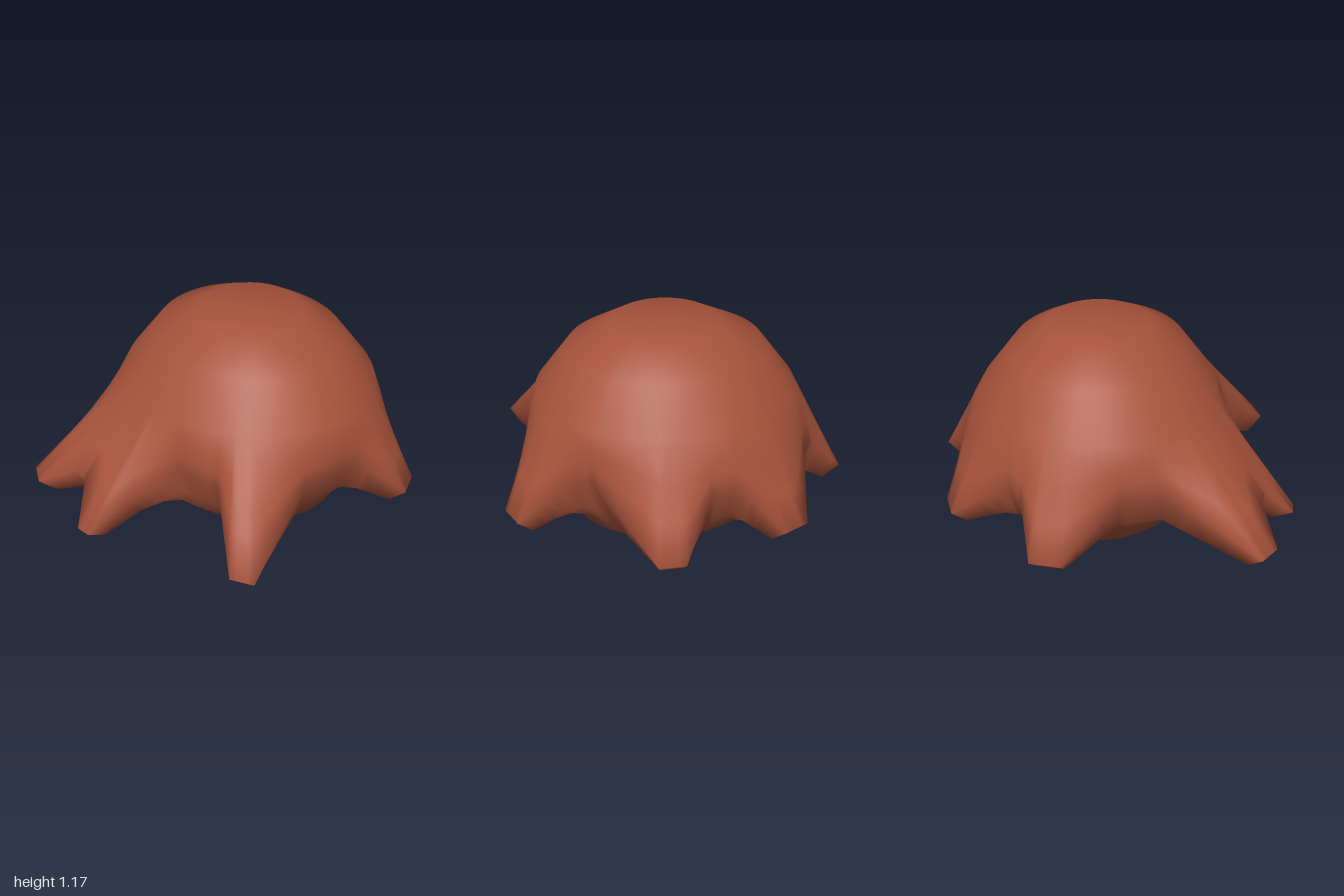
import * as THREE from 'three';

const CX = 0.09, CZ = 0.015; // axis of the round body
const PX = 0.03, PZ = -0.03, PR = 0.31; // underside patch
const lerp = THREE.MathUtils.lerp;

// Widest outline, [x, z, y]: seven arm tips with the body showing between them
const RIM = [
  [0.15, -0.94, 0.28], [0.31, -0.93, 0.28], [0.38, -0.73, 0.5], [0.47, -0.65, 0.55],
  [0.80, -0.57, 0.28], [0.86, -0.43, 0.28], [0.80, -0.2, 0.55], [0.82, -0.05, 0.55],
  [1.0, 0.12, 0.28], [0.99, 0.26, 0.28], [0.58, 0.5, 0.55], [0.51, 0.62, 0.53],
  [0.46, 0.88, 0.28], [0.32, 0.93, 0.28], [0.08, 0.76, 0.55], [-0.26, 0.69, 0.55],
  [-0.75, 0.78, 0.28], [-0.80, 0.66, 0.28], [-0.56, 0.37, 0.55], [-0.58, 0.11, 0.55],
  [-0.80, -0.05, 0.39], [-1.0, -0.15, 0.22], [-1.0, -0.23, 0.22], [-0.84, -0.33, 0.4],
  [-0.83, -0.43, 0.4], [-0.92, -0.63, 0.27], [-0.85, -0.74, 0.27], [-0.35, -0.63, 0.55],
  [-0.12, -0.71, 0.55],
];

// The body is a little wider along z
const widen = (uz) => 0.055 * uz * uz;

// Underside height at radius r: a gently tilted floor, then the rising lower wall
function undersideY(r, ux, uz) {
  const f = Math.min(r, 0.28);
  const s = -0.8 * (CX + ux * f - PX) - 0.6 * (CZ + uz * f - PZ);
  const floor = 0.04 * (Math.max(0, s + PR) / (2 * PR)) ** 2;
  return lerp(floor, 0.125, (r - f) / (0.185 + widen(uz)));
}

// Vertical profile [radius, y] along the direction (ux, uz) of one rim point
function profile(R, y, ux, uz) {
  const t = (0.55 - y) / 0.27; // 0 on the bare body, 1 at an arm tip
  const wide = widen(uz);
  const shoulder = 0.635 + wide;
  const mid = (f) => [
    lerp(shoulder, R, f) + 0.02 * Math.max(0, 1 - t) * Math.sin(Math.PI * f),
    lerp(0.82, y, f),
  ];
  const under = (r) => [r, undersideY(r, ux, uz) + 0.006];
  return [
    [0, 1.175], [0.28, 1.172], [0.465 + wide, 1.05], [shoulder, 0.82],
    mid(0.33), mid(0.67), [R, y],
    [R - lerp(0.06, 0.09, t), lerp(0.36, 0.2, t)],
    [lerp(0.58, 0.64, t), lerp(0.245, 0.33, t)],
    under(0.465 + wide), under(0.28), under(0),
  ];
}

// Body and arms as one smooth skin: a closed loop of profiles
function skinGeometry() {
  const SUB = 4, pos = [], idx = [];
  let rows = 0;
  const cols = RIM.length * SUB;
  RIM.forEach((p, i) => {
    const q = RIM[(i + 1) % RIM.length];
    for (let s = 0; s < SUB; s++) {
      const [x, z, y] = p.map((v, k) => lerp(v, q[k], s / SUB));
      const R = Math.hypot(x - CX, z - CZ);
      const ux = (x - CX) / R, uz = (z - CZ) / R;
      const pts = profile(R, y, ux, uz);
      rows = pts.length;
      for (const [r, h] of pts) pos.push(CX + ux * r, h, CZ + uz * r);
    }
  });
  // Poles are shared by all columns
  const at = (c, r) => (r === 0 || r === rows - 1 ? r : (c % cols) * rows + r);
  for (let c = 0; c < cols; c++) {
    for (let r = 0; r < rows - 1; r++) {
      const a = at(c, r), b = at(c + 1, r), d = at(c, r + 1), e = at(c + 1, r + 1);
      if (r > 0) idx.push(a, b, d);
      if (r < rows - 2) idx.push(b, e, d);
    }
  }
  const g = new THREE.BufferGeometry();
  g.setAttribute('position', new THREE.Float32BufferAttribute(pos, 3));
  g.setIndex(idx);
  g.computeVertexNormals();
  return g;
}

// Round patch that hugs the underside
function patchGeometry() {
  const g = new THREE.RingGeometry(0, PR, 48, 10);
  g.rotateX(Math.PI / 2);
  g.translate(PX, 0, PZ);
  const p = g.attributes.position;
  for (let i = 0; i < p.count; i++) {
    const dx = p.getX(i) - CX, dz = p.getZ(i) - CZ, r = Math.hypot(dx, dz);
    p.setY(i, undersideY(r, dx / r, dz / r));
  }
  g.computeVertexNormals();
  return g;
}

export function createModel() {
  const skin = new THREE.MeshStandardMaterial({ color: 0xa8533b });
  skin.name = 'redBrownSkin';
  const olive = new THREE.MeshStandardMaterial({ color: 0xc8b46c, side: THREE.DoubleSide });
  olive.name = 'oliveUnderside';

  const model = new THREE.Group();
  model.name = 'armedBody';
  const add = (name, geometry, material) => {
    const mesh = new THREE.Mesh(geometry, material);
    mesh.name = name;
    model.add(mesh);
  };
  add('bodyWithArms', skinGeometry(), skin);
  add('undersidePatch', patchGeometry(), olive);
  return model;
}
